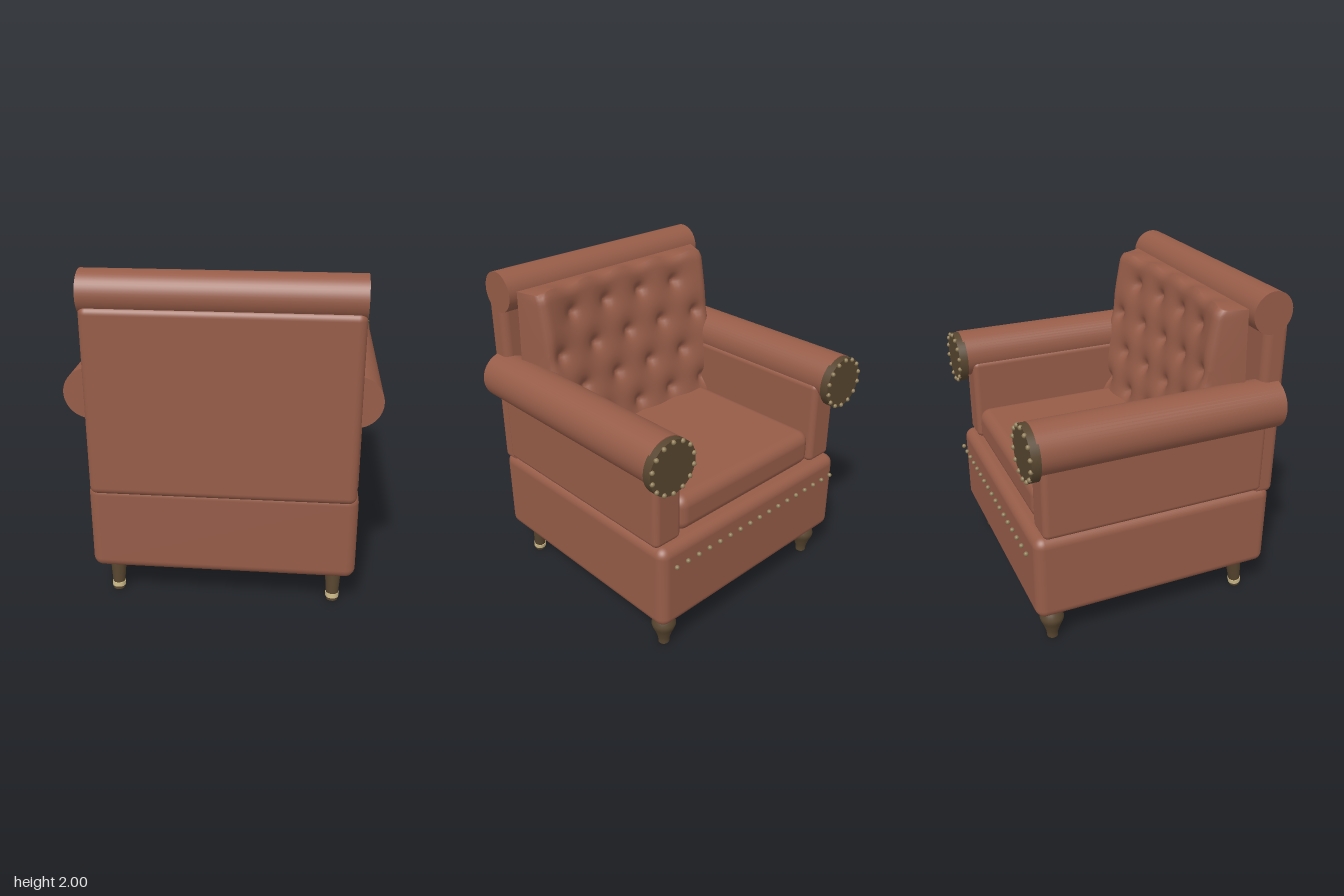
import * as THREE from 'three';
import { mergeVertices, toCreasedNormals } from 'three/addons/utils/BufferGeometryUtils.js';
import { RoundedBoxGeometry } from 'three/addons/geometries/RoundedBoxGeometry.js';

const leather = new THREE.MeshStandardMaterial({ color: 0x965c48 });
const wood = new THREE.MeshStandardMaterial({ color: 0x57452f });
const brass = new THREE.MeshStandardMaterial({ color: 0x8c7a55 });
const paleBrass = new THREE.MeshStandardMaterial({ color: 0xcfbd8c });

function add(parent, name, geometry, material, x = 0, y = 0, z = 0) {
  const mesh = new THREE.Mesh(geometry, material);
  mesh.name = name;
  mesh.position.set(x, y, z);
  parent.add(mesh);
  return mesh;
}

// Rounded box given by its extents on each axis
function pad(parent, name, [x0, x1], [y0, y1], [z0, z1], r) {
  const g = new RoundedBoxGeometry(x1 - x0, y1 - y0, z1 - z0, 5, r);
  return add(parent, name, g, leather, (x0 + x1) / 2, (y0 + y1) / 2, (z0 + z1) / 2);
}

// Button-tufted back cushion: a fine box bent into a leaning, slightly winged pillow
function tuftedCushion() {
  const tufts = [];
  [1.74, 1.51, 1.28, 1.05].forEach((y, row) => {
    const xs = row % 2 ? [-0.56, -0.28, 0, 0.28, 0.56] : [-0.42, -0.14, 0.14, 0.42];
    xs.forEach((x) => tufts.push([x, y]));
  });
  let g = new THREE.BoxGeometry(2, 1, 1, 64, 52, 6);
  g.deleteAttribute('uv');
  g.deleteAttribute('normal');
  g = mergeVertices(g);
  const p = g.attributes.position;
  for (let i = 0; i < p.count; i++) {
    const u = p.getX(i), v = p.getY(i) + 0.5, t = p.getZ(i) + 0.5;
    const x = u * (0.655 + 0.05 * t);
    let y = 0.9 + v * 1.0;
    let front = 0.2 + 0.17 * v + 0.07 * (1 - u * u) * (0.4 + 0.6 * v);
    // dimples with soft folds between them
    for (const [tx, ty] of tufts) {
      const d = Math.hypot(u * 0.66 - tx, y - ty);
      front += 0.03 * Math.exp(-((d / 0.035) ** 2)) + 0.03 * Math.exp(-((d / 0.09) ** 2));
    }
    // rounded rim
    const rim = Math.max(0, (Math.abs(u) - 0.93) / 0.07);
    const rimY = Math.max(0, (v - 0.95) / 0.05);
    front += 0.025 * rim * rim + 0.02 * rimY * rimY;
    const back = 0.62 - 0.08 * v - 0.02 * Math.sin(v * Math.PI);
    // scalloped top edge
    y += v ** 8 * 0.012 * Math.cos(x * Math.PI * 2 / 0.28) * (1 - t);
    p.setXYZ(i, x, y, front + (back - front) * t);
  }
  return toCreasedNormals(g, 0.9);
}

export function createModel() {
  const chair = new THREE.Group();
  chair.name = 'armchair';

  // Upholstered body
  pad(chair, 'base', [-0.77, 0.77], [0.225, 0.765], [-0.745, 0.76], 0.06);
  pad(chair, 'backrest', [-0.755, 0.755], [0.72, 1.82], [0.635, 0.785], 0.045);
  pad(chair, 'seatCushion', [-0.575, 0.575], [0.755, 0.985], [-0.68, 0.62], 0.07);
  add(chair, 'backCushion', tuftedCushion(), leather);
  const topRoll = add(chair, 'backRoll', new THREE.CylinderGeometry(0.123, 0.123, 1.51, 48), leather, 0, 1.877, 0.667);
  topRoll.rotation.z = Math.PI / 2;

  // Arms, legs and nail-trimmed arm fronts, mirrored
  const nail = new THREE.SphereGeometry(0.014, 12, 8);
  const turnedLeg = new THREE.LatheGeometry(
    new THREE.SplineCurve([
      [0.033, 0.005], [0.036, 0.04], [0.052, 0.09], [0.072, 0.14],
      [0.066, 0.175], [0.05, 0.21], [0.05, 0.24],
    ].map(([r, y]) => new THREE.Vector2(r, y))).getPoints(24), 20);
  for (const s of [-1, 1]) {
    const side = s > 0 ? 'left' : 'right';
    const arm = new THREE.Group();
    arm.name = side + 'Arm';
    chair.add(arm);
    pad(arm, 'armPanel', s > 0 ? [0.57, 0.765] : [-0.765, -0.57], [0.755, 1.3], [-0.69, 0.695], 0.035);
    const roll = add(arm, 'armRoll', new THREE.CylinderGeometry(0.147, 0.147, 1.475, 48), leather, s * 0.722, 1.324, 0.003);
    roll.rotation.x = Math.PI / 2;
    const cap = add(arm, 'armCap', new THREE.CylinderGeometry(0.16, 0.16, 0.053, 40), wood, s * 0.72, 1.306, -0.75);
    cap.rotation.x = Math.PI / 2;
    for (let i = 0; i < 14; i++) {
      const a = (i + 0.5) / 14 * Math.PI * 2;
      add(arm, 'armNail', nail, brass, s * 0.72 + 0.15 * Math.cos(a), 1.306 + 0.15 * Math.sin(a), -0.778);
    }

    add(chair, side + 'FrontLeg', turnedLeg, wood, s * 0.65, 0, -0.625);
    add(chair, side + 'FrontLegFoot', new THREE.CylinderGeometry(0.033, 0.033, 0.01, 20), wood, s * 0.65, 0.01, -0.625);

    // Splayed rear leg with a metal band
    const rear = new THREE.Group();
    rear.name = side + 'RearLeg';
    rear.position.set(s * 0.65, 0.125, 0.618);
    rear.rotation.x = -0.13;
    chair.add(rear);
    add(rear, 'rearLegShaft', new THREE.CylinderGeometry(0.052, 0.033, 0.235, 20), wood);
    add(rear, 'rearLegBand', new THREE.CylinderGeometry(0.041, 0.039, 0.028, 20), paleBrass, 0, -0.085, 0);
  }

  // Nail row across the front of the base
  for (let i = 0; i < 17; i++) {
    add(chair, 'baseNail', nail, brass, (i - 8) * 0.0857, 0.655, -0.773);
  }
  return chair;
}
